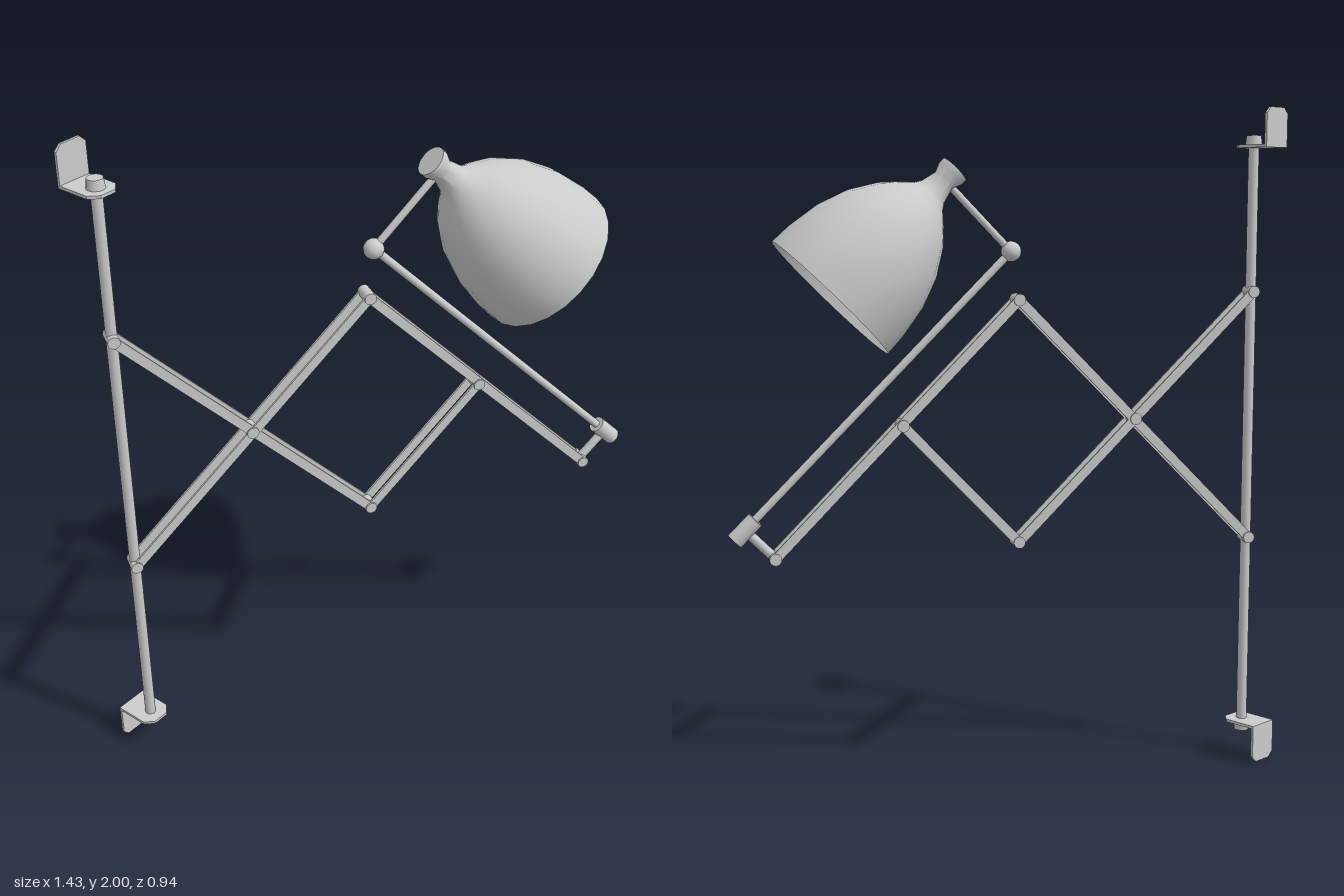
import * as THREE from 'three';
import { toCreasedNormals } from 'three/addons/utils/BufferGeometryUtils.js';

const grey = new THREE.MeshStandardMaterial({ color: 0xcccccc });
const thin = new THREE.MeshStandardMaterial({ color: 0xcccccc, side: THREE.DoubleSide });
const UP = new THREE.Vector3(0, 1, 0);

function add(parent, name, geometry, material = grey) {
  const mesh = new THREE.Mesh(geometry, material);
  mesh.name = name;
  parent.add(mesh);
  return mesh;
}

// Round rod between two points of the arm plane
function rod(parent, name, [u0, y0], [u1, y1], radius, sides = 12) {
  const a = new THREE.Vector3(u0, y0, 0), b = new THREE.Vector3(u1, y1, 0);
  const mesh = add(parent, name, new THREE.CylinderGeometry(radius, radius, a.distanceTo(b), sides));
  mesh.position.copy(a).add(b).multiplyScalar(0.5);
  mesh.quaternion.setFromUnitVectors(UP, b.sub(a).normalize());
  return mesh;
}

// Pair of flat parallel rails between two points of the arm plane
function railPair(parent, name, [u0, y0], [u1, y1]) {
  const length = Math.hypot(u1 - u0, y1 - y0);
  for (const side of [-1, 1]) {
    const rail = add(parent, name, new THREE.BoxGeometry(length + 0.02, 0.028, 0.007));
    rail.position.set((u0 + u1) / 2, (y0 + y1) / 2, side * 0.022);
    rail.rotation.z = Math.atan2(y1 - y0, u1 - u0);
  }
}

// Plate with two cut corners at its far end, extruded to thickness t
function plate(width, length, cut, t) {
  const w = width / 2;
  const shape = new THREE.Shape([
    [-w, 0], [w, 0], [w, length - cut], [w - cut, length], [cut - w, length], [-w, length - cut],
  ].map(([x, y]) => new THREE.Vector2(x, y)));
  return new THREE.ExtrudeGeometry(shape, { depth: t, bevelEnabled: false });
}

// Angled wall bracket with the nut that holds the pole end
function wallBracket() {
  const bracket = new THREE.Group();
  bracket.name = 'wallBracket';
  const back = add(bracket, 'bracketBack', plate(0.1, 0.117, 0.018, 0.008));
  back.position.set(0, 0, -0.085);
  const shelf = add(bracket, 'bracketShelf', plate(0.1, 0.13, 0.025, 0.009));
  shelf.rotation.x = Math.PI / 2;
  shelf.position.set(0, 0.009, -0.085);
  const nut = add(bracket, 'poleNut', new THREE.CylinderGeometry(0.022, 0.026, 0.03, 16));
  nut.position.y = 0.022;
  return bracket;
}

export function createModel() {
  const model = new THREE.Group();
  model.name = 'scissorWallLamp';

  // Wall mount: pole between two mirrored brackets
  const mount = new THREE.Group();
  mount.name = 'wallMount';
  mount.position.set(-0.665, 0, -0.385);
  model.add(mount);
  const pole = add(mount, 'pole', new THREE.CylinderGeometry(0.016, 0.016, 1.8, 16));
  pole.position.y = 1;
  const top = wallBracket();
  top.position.y = 1.883;
  const bottom = wallBracket();
  bottom.rotation.z = Math.PI;
  bottom.position.y = 0.117;
  mount.add(top, bottom);

  // Arm: drawn in its own plane, then swung out from the wall
  const arm = new THREE.Group();
  arm.name = 'scissorArm';
  arm.position.copy(mount.position);
  arm.rotation.y = -Math.PI / 6;
  model.add(arm);

  const poleHigh = [0, 1.455], poleLow = [0, 0.70], cross = [0.37, 1.08];
  const midHigh = [0.73, 1.44], midLow = [0.73, 0.72];
  const outer = [1.077, 1.08], tip = [1.453, 0.705];
  railPair(arm, 'fallingRail', poleHigh, midLow);
  railPair(arm, 'risingRail', poleLow, midHigh);
  railPair(arm, 'outerFallingRail', midHigh, tip);
  railPair(arm, 'outerRisingRail', midLow, outer);
  for (const [u, y] of [poleHigh, poleLow, cross, midHigh, midLow, outer, tip]) {
    const pin = add(arm, 'hingePin', new THREE.CylinderGeometry(0.018, 0.018, 0.06, 12));
    pin.rotation.x = Math.PI / 2;
    pin.position.set(u, y, 0);
  }

  // Lamp support: link, socket, long rod, ball joint and short rod
  const socket = [1.536, 0.79], elbow = [0.75, 1.58];
  rod(arm, 'tipLink', tip, socket, 0.014);
  rod(arm, 'socket', [1.506, 0.82], [1.566, 0.76], 0.026, 16);
  rod(arm, 'supportRod', socket, elbow, 0.012);
  const ball = add(arm, 'elbowBall', new THREE.SphereGeometry(0.03, 16, 12));
  ball.position.set(elbow[0], elbow[1], 0);
  rod(arm, 'lampRod', elbow, [0.945, 1.782], 0.011);

  // Bell shade with flared neck, hanging at 45 degrees: [radius, distance from cap]
  const profile = [
    [0.228, 0.515], [0.225, 0.45], [0.209, 0.35], [0.177, 0.26], [0.131, 0.185],
    [0.092, 0.142], [0.058, 0.11], [0.045, 0.09], [0.034, 0.045], [0.045, 0.018], [0.045, 0], [0, 0],
  ].map(([r, t]) => new THREE.Vector2(r, -t));
  const shade = add(arm, 'shade', toCreasedNormals(new THREE.LatheGeometry(profile, 24), 0.8), thin);
  shade.position.set(0.917, 1.815, 0);
  shade.rotation.z = Math.PI / 4;

  return model;
}
